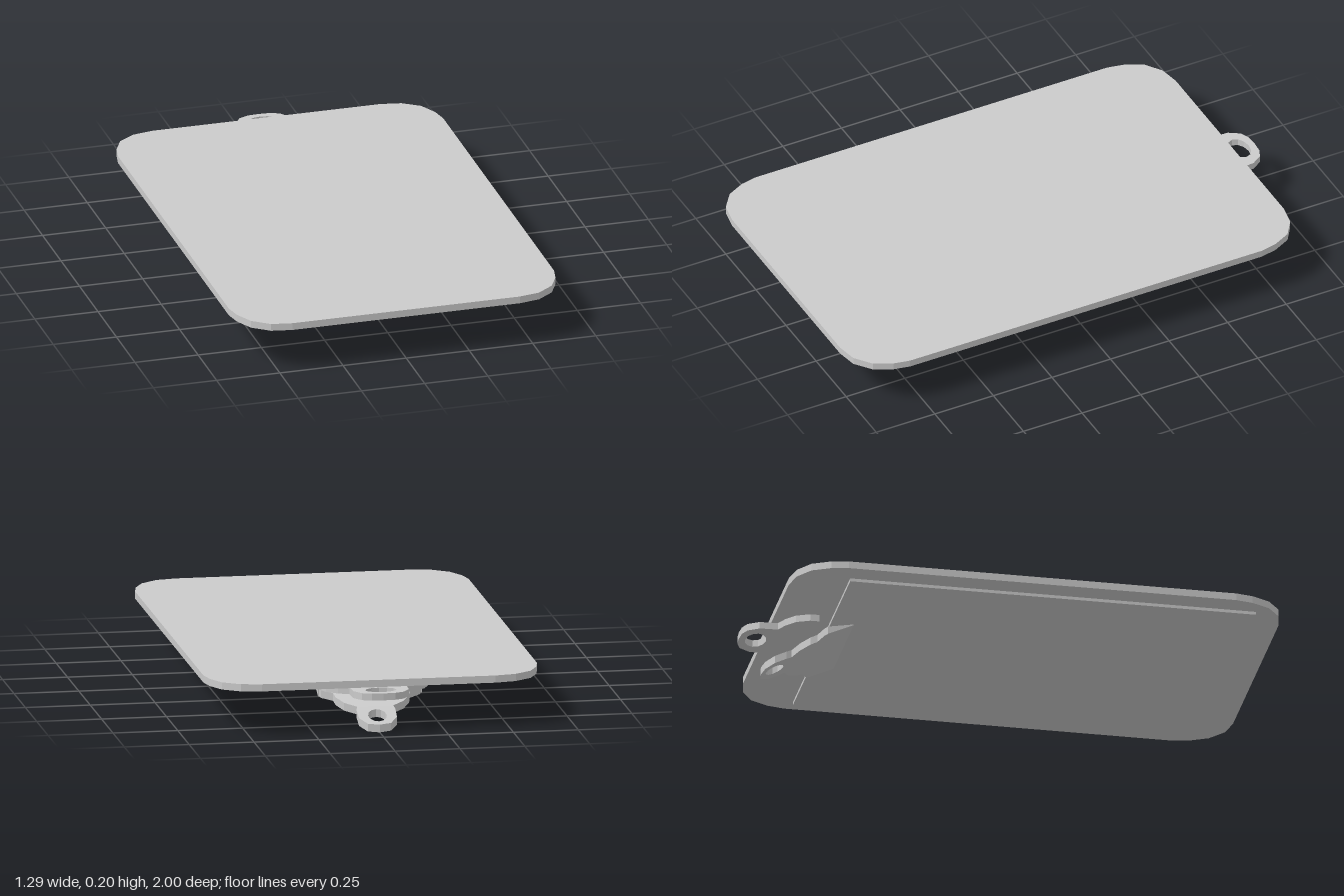
import * as THREE from 'three';

const material = new THREE.MeshStandardMaterial({ color: 0xcccccc, flatShading: true });

// Plate lying in the xz plane. half: [x, -z] points down the +x side, mirrored to -x.
// top and bottom give the surface heights along z.
function plate(name, half, top, bottom, hole) {
  const mirrored = half.filter(([x]) => x > 0).map(([x, d]) => [-x, d]).reverse();
  const shape = new THREE.Shape([...half, ...mirrored].map(([x, d]) => new THREE.Vector2(x, d)));
  if (hole) {
    const path = new THREE.Path();
    path.absellipse(0, hole.d, hole.rx, hole.rd, 0, Math.PI * 2, true);
    shape.holes.push(path);
  }
  const geometry = new THREE.ExtrudeGeometry(shape, { depth: 1, bevelEnabled: false, curveSegments: 6 });
  geometry.rotateX(-Math.PI / 2);
  const p = geometry.attributes.position;
  for (let i = 0; i < p.count; i++) {
    const d = -p.getZ(i);
    p.setY(i, p.getY(i) > 0.5 ? top(d) : bottom(d));
  }
  geometry.computeVertexNormals();
  const mesh = new THREE.Mesh(geometry, material);
  mesh.name = name;
  return mesh;
}

const level = (y) => () => y;
const slope = (d0, y0, d1, y1) => (d) => y0 + (y1 - y0) * (d - d0) / (d1 - d0);

export function createModel() {
  const model = new THREE.Group();
  model.name = 'clipboard';

  // Board with rounded corners, lying face down
  model.add(plate('board', [
    [0.45, -1], [0.53, -0.985], [0.595, -0.935], [0.63, -0.865], [0.643, -0.8],
    [0.643, 0.7], [0.63, 0.765], [0.595, 0.835], [0.53, 0.88], [0.45, 0.895],
  ], level(0.2), level(0.172)));

  // Sheet of paper
  model.add(plate('paper', [[0.568, -0.89], [0.568, 0.68]], level(0.165), level(0.153)));

  const clip = new THREE.Group();
  clip.name = 'clip';
  model.add(clip);

  // Fixed half of the clip with its hanging eye
  clip.add(plate('clipBase', [
    [0.212, 0.73], [0.212, 0.765], [0.19, 0.815], [0.15, 0.85], [0.11, 0.87],
    [0.107, 0.94], [0.08, 0.982], [0.045, 0.997], [0, 1],
  ], level(0.17), level(0.143), { d: 0.935, rx: 0.06, rd: 0.04 }));

  // Sloping lever: wedge jaw, shoulders, finger ring
  clip.add(plate('leverJaw', [[0.2, 0.595], [0.2, 0.695]],
    slope(0.595, 0.148, 0.695, 0.13), slope(0.595, 0.145, 0.695, 0.1)));
  clip.add(plate('leverShoulders', [
    [0.2, 0.69], [0.19, 0.705], [0.147, 0.725], [0.142, 0.75], [0.115, 0.785], [0.07, 0.81],
  ], slope(0.695, 0.13, 0.81, 0.08), slope(0.695, 0.1, 0.81, 0.05)));
  clip.add(plate('leverRing', [
    [0.07, 0.81], [0.075, 0.83], [0.073, 0.875], [0.045, 0.907], [0, 0.915],
  ], slope(0.81, 0.08, 0.915, 0.03), slope(0.81, 0.05, 0.915, 0), { d: 0.862, rx: 0.036, rd: 0.034 }));

  return model;
}
